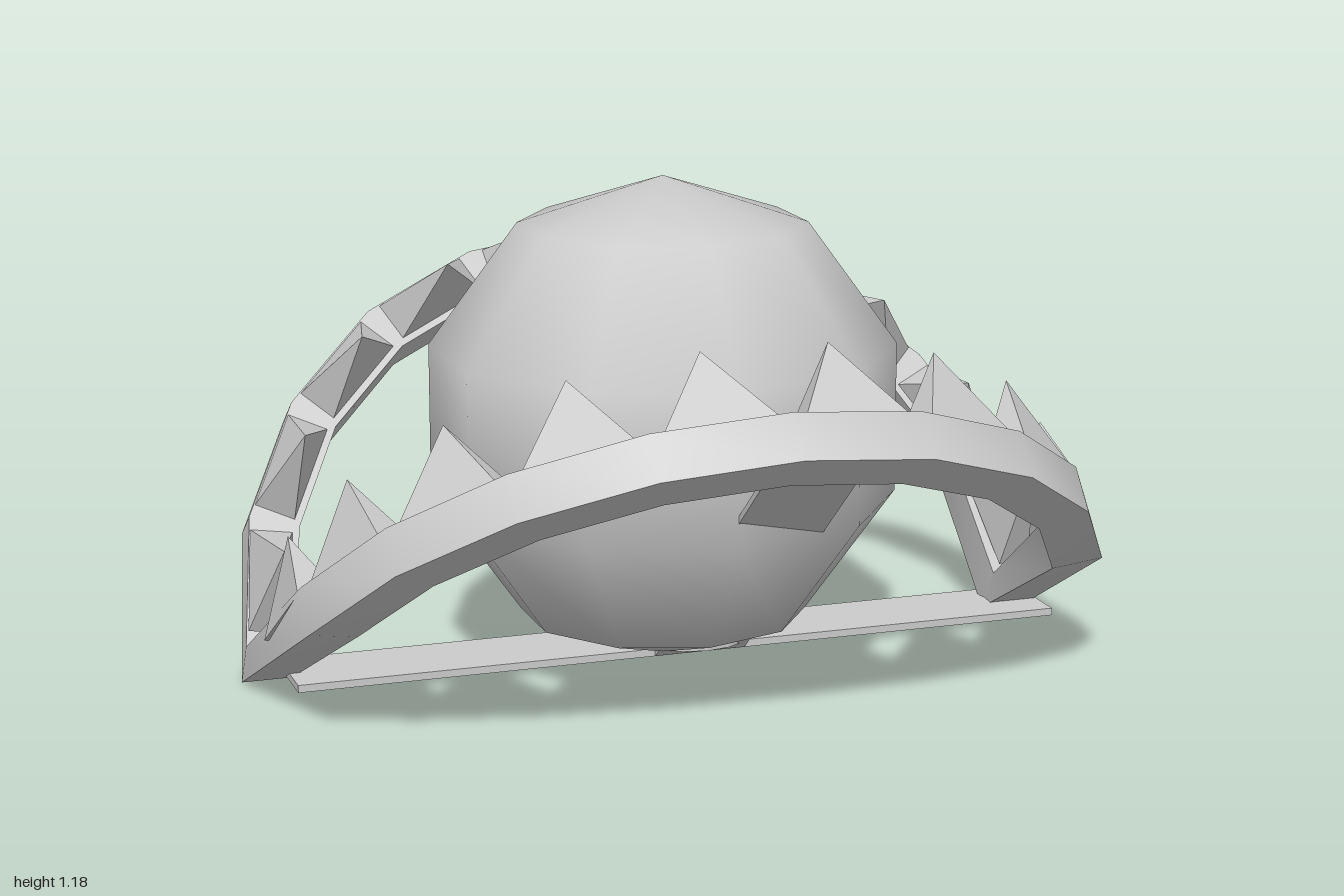
import * as THREE from 'three';
import { toCreasedNormals } from 'three/addons/utils/BufferGeometryUtils.js';

const grey = new THREE.MeshStandardMaterial({ color: 0xcccccc });
const flat = new THREE.MeshStandardMaterial({ color: 0xcccccc, flatShading: true });
const OUTER = 1, INNER = 0.88, BAND = 0.115, SEGMENTS = 10;

function addMesh(parent, name, geometry, material = flat) {
  const mesh = new THREE.Mesh(geometry, material);
  mesh.name = name;
  parent.add(mesh);
  return mesh;
}

// Half-ring band swept from rectangular sections; both ends are pulled to the hinge
function bandGeometry(center, x, n, u, hingeLow, hingeHigh) {
  const pos = [], idx = [];
  for (let i = 0; i <= SEGMENTS; i++) {
    const a = -Math.PI / 2 + (i * Math.PI) / SEGMENTS;
    for (const [radius, high] of [[OUTER, 0], [OUTER, 1], [INNER, 1], [INNER, 0]]) {
      const p = new THREE.Vector3();
      if (i === 0 || i === SEGMENTS) {
        p.copy(high ? hingeHigh : hingeLow).addScaledVector(x, Math.sin(a) * radius);
      } else {
        p.copy(center).addScaledVector(x, Math.sin(a) * radius)
          .addScaledVector(u, Math.cos(a) * radius).addScaledVector(n, high * BAND);
      }
      pos.push(p.x, p.y, p.z);
    }
  }
  for (let i = 0; i < SEGMENTS; i++) {
    for (let k = 0; k < 4; k++) {
      const a = i * 4 + k, b = i * 4 + ((k + 1) % 4);
      idx.push(a, a + 4, b, b, a + 4, b + 4);
    }
  }
  const e = SEGMENTS * 4;
  idx.push(0, 1, 2, 0, 2, 3, e, e + 2, e + 1, e, e + 3, e + 2);
  const g = new THREE.BufferGeometry();
  g.setAttribute('position', new THREE.Float32BufferAttribute(pos, 3));
  g.setIndex(idx);
  return toCreasedNormals(g, 0.6);
}

// Toothed jaw tilted up from the ground; side is +1 for front, -1 for back
function makeJaw(name, side, tilt, cy, cz) {
  const jaw = new THREE.Group();
  jaw.name = name;
  const c = Math.cos(tilt), s = Math.sin(tilt);
  const x = new THREE.Vector3(side, 0, 0);
  const u = new THREE.Vector3(0, s, side * c);
  const n = new THREE.Vector3(0, c, -side * s);
  const center = new THREE.Vector3(0, cy, cz);
  const low = new THREE.Vector3(0, 0.003, -0.235);
  const high = new THREE.Vector3(0, 0.11, -0.17);
  addMesh(jaw, name + 'Band', bandGeometry(center, x, n, u, low, high), grey);

  // One four-sided spike in the middle of each band segment
  const spike = new THREE.ConeGeometry(Math.SQRT1_2, 1, 4).rotateY(Math.PI / 4);
  spike.scale(0.25, 0.2, 0.1).translate(0, 0.1, 0);
  for (let i = 0; i < SEGMENTS; i++) {
    const a = -Math.PI / 2 + ((i + 0.5) * Math.PI) / SEGMENTS;
    const r = x.clone().multiplyScalar(Math.sin(a)).addScaledVector(u, Math.cos(a));
    const t = new THREE.Vector3().crossVectors(n, r);
    const base = center.clone().addScaledVector(r, 0.935).addScaledVector(n, BAND - 0.003);
    const m = new THREE.Matrix4().makeBasis(t, n, r).setPosition(base);
    addMesh(jaw, name + 'Tooth', spike.clone().applyMatrix4(m));
  }
  return jaw;
}

export function createModel() {
  const model = new THREE.Group();
  model.name = 'jawTrapWithBall';

  model.add(makeJaw('frontJaw', 1, 0.695, 0.07, 0.052));
  model.add(makeJaw('backJaw', -1, 0.955, 0.056, -0.248));

  // Faceted ball with smooth shading
  const ball = addMesh(model, 'ball', new THREE.SphereGeometry(0.57, 10, 5), grey);
  ball.rotation.y = Math.PI / 2;
  ball.position.set(-0.03, 0.61, -0.035);

  // Flat bar across the hinges
  addMesh(model, 'baseBar', new THREE.BoxGeometry(1.9, 0.018, 0.21))
    .position.set(0.05, 0.024, -0.185);

  // Trigger disc in the middle of the bar
  addMesh(model, 'triggerDisc', new THREE.CylinderGeometry(0.153, 0.153, 0.014, 16))
    .position.set(0.077, 0.042, -0.172);

  // Sloping strip from the bar up to the front jaw
  const y0 = 0.022, z0 = -0.08, y1 = 0.68, z1 = 0.72;
  const strip = addMesh(model, 'frontStrip',
    new THREE.BoxGeometry(0.225, 0.014, Math.hypot(y1 - y0, z1 - z0)));
  strip.position.set(0.077, (y0 + y1) / 2, (z0 + z1) / 2);
  strip.rotation.x = -Math.atan2(y1 - y0, z1 - z0);

  return model;
}
